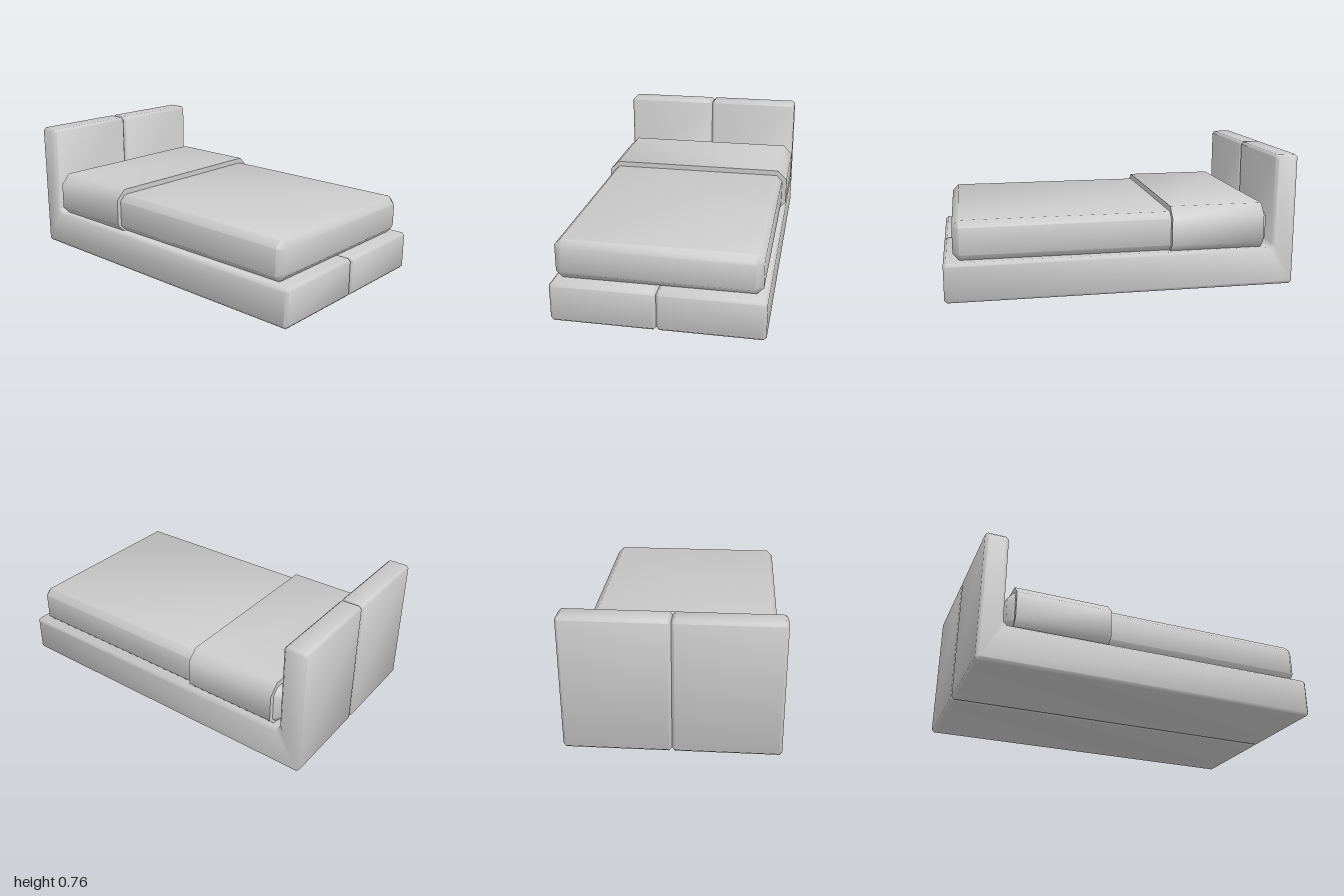
import * as THREE from 'three';
import { toCreasedNormals } from 'three/addons/utils/BufferGeometryUtils.js';

const material = new THREE.MeshStandardMaterial({ color: 0xcccccc });

// Closed outline whose corners [x, y, cut] are each sliced off by their cut length
function chamferedShape(corners) {
  const points = [];
  corners.forEach(([x, y, cut], i) => {
    const here = new THREE.Vector2(x, y);
    for (const step of [-1, 1]) {
      const [nx, ny] = corners[(i + step + corners.length) % corners.length];
      const dir = new THREE.Vector2(nx, ny).sub(here).normalize();
      points.push(here.clone().addScaledVector(dir, cut));
    }
  });
  return new THREE.Shape(points);
}

// Extrudes an outline from z = start to z = end, with chamfered rims
function slab(corners, start, end, bevel) {
  const geometry = new THREE.ExtrudeGeometry(chamferedShape(corners), {
    depth: end - start - 2 * bevel,
    bevelEnabled: bevel > 0,
    bevelThickness: bevel,
    bevelSize: bevel,
    bevelOffset: -bevel,
    bevelSegments: 1,
  });
  return geometry.translate(0, 0, start + bevel);
}

function addPart(group, name, geometry, crease = 1) {
  const mesh = new THREE.Mesh(toCreasedNormals(geometry, crease), material);
  mesh.name = name;
  group.add(mesh);
}

export function createModel() {
  const group = new THREE.Group();
  group.name = 'bed';

  // Two L-shaped halves: base and headboard in one piece, profile drawn in (z, y)
  const c = 0.015;
  const profile = [
    [-1, 0, c], [1, 0, c], [1, 0.225, c],
    [-0.868, 0.225, 0.02], [-0.868, 0.765, c], [-1, 0.765, c],
  ];
  const halves = { frameRight: [-0.579, 0.002], frameLeft: [0.002, 0.584] };
  for (const [name, [x0, x1]] of Object.entries(halves)) {
    addPart(group, name, slab(profile, -x1, -x0, c).rotateY(-Math.PI / 2));
  }

  // Mattress with chamfered edges all round
  const m = 0.036;
  addPart(group, 'mattress', slab([
    [-0.562, 0.225, m], [0.556, 0.225, m], [0.556, 0.45, m], [-0.562, 0.45, m],
  ], -0.846, 0.946, m));

  // Folded blanket wrapped around the head end of the mattress
  addPart(group, 'blanket', slab([
    [-0.587, 0.225, 0.042], [0.585, 0.225, 0.042],
    [0.585, 0.482, 0.058], [-0.587, 0.482, 0.058],
  ], -0.81, -0.27, 0));

  return group;
}
